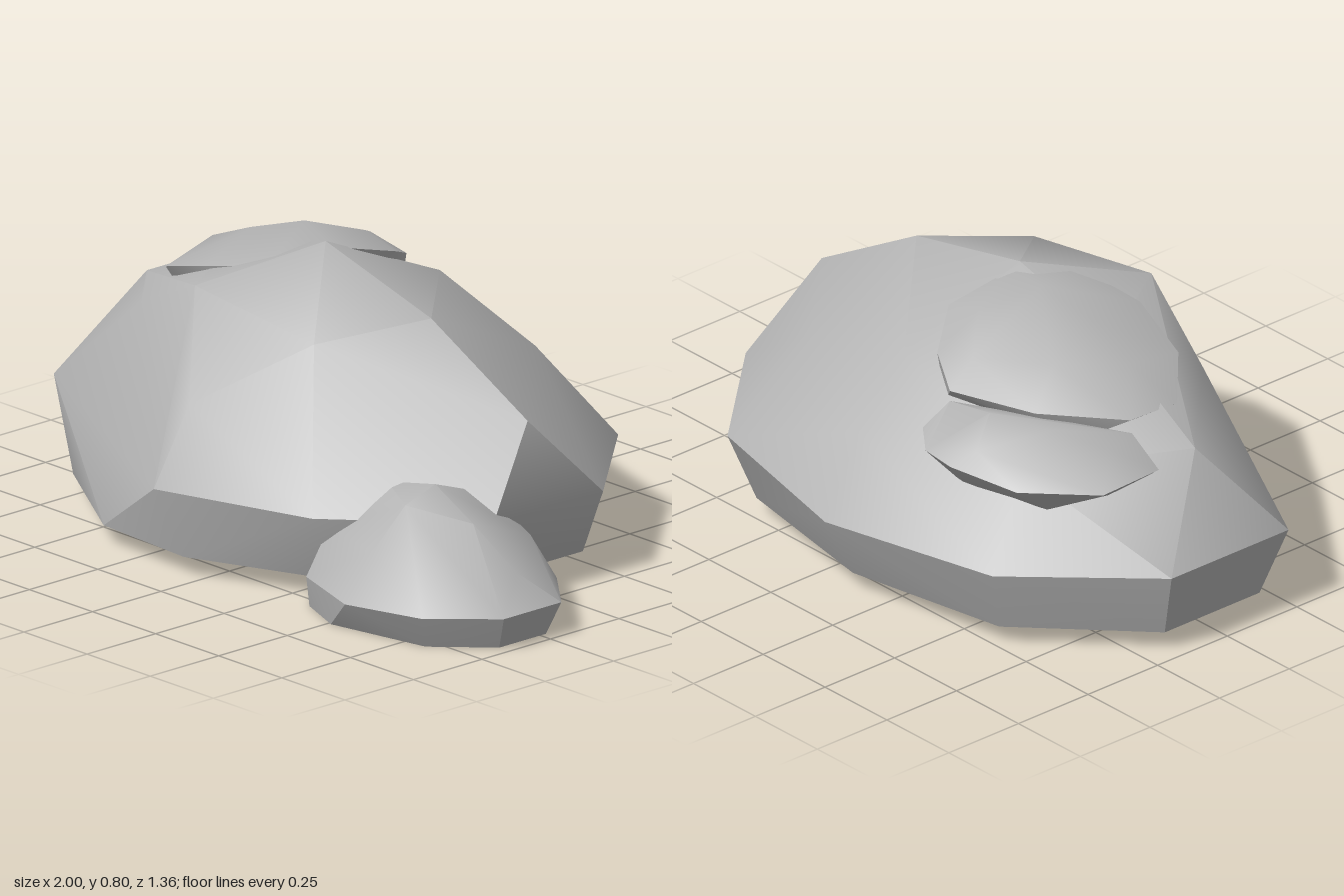
import * as THREE from 'three';
import { ConvexGeometry } from 'three/addons/geometries/ConvexGeometry.js';
import { toCreasedNormals } from 'three/addons/utils/BufferGeometryUtils.js';

// Ring of [x, z] corners at one height
const ring = (y, corners) => corners.map(([x, z]) => [x, y, z]);

// A faceted stone: the convex hull of its corners, softened except at sharp edges
function stone(name, corners, material, crease = 0.65) {
  const hull = new ConvexGeometry(corners.map((c) => new THREE.Vector3(...c)));
  const mesh = new THREE.Mesh(toCreasedNormals(hull, crease), material);
  mesh.name = name;
  return mesh;
}

export function createModel() {
  const group = new THREE.Group();
  group.name = 'rocks';
  const grey = new THREE.MeshStandardMaterial({ color: 0xb4b4b4 });
  grey.name = 'stone grey';

  // Large boulder: undercut base, wide waist, domed top with a ridge to the right
  group.add(stone('boulder', [
    ...ring(0.055, [[0.64, 0.17], [0.32, 0.47], [-0.05, 0.62], [-0.39, 0.6], [-0.76, 0.37], [-0.95, 0.16],
      [-0.95, -0.18], [-0.63, -0.49], [-0.14, -0.58], [0.35, -0.49], [0.64, -0.2]]),
    ...ring(0.245, [[0.72, 0.2], [0.36, 0.53], [-0.11, 0.675], [-1, 0.22],
      [-1, -0.2], [-0.67, -0.55], [-0.14, -0.68], [0.4, -0.55], [0.72, -0.2]]),
    [0.66, 0.48, 0.02], [0.3, 0.685, 0.04], [-0.14, 0.79, 0.02], [-0.5, 0.69, 0.03], [-0.87, 0.52, 0],
    [-0.3, 0.7, 0.35], [0.15, 0.64, 0.33], [-0.1, 0.46, 0.555], [-0.6, 0.56, 0.27],
    [-0.1, 0.63, -0.36], [0.3, 0.52, -0.34], [-0.12, 0.46, -0.54], [-0.6, 0.48, -0.38],
  ], grey));

  // Bulge on the crown
  group.add(stone('crownBulge', [
    ...ring(0.5, [[-0.2, -0.3], [-0.6, -0.2], [-0.6, 0.08], [-0.25, 0.12]]),
    [-0.1, 0.72, -0.2], [-0.2, 0.66, -0.33], [-0.33, 0.62, -0.4], [-0.55, 0.6, -0.29],
    [-0.72, 0.58, -0.1], [-0.73, 0.58, 0.06], [-0.6, 0.64, 0.18], [-0.4, 0.7, 0.22],
    [-0.2, 0.74, 0.18], [-0.13, 0.77, 0],
    [-0.29, 0.797, -0.04], [-0.46, 0.745, 0], [-0.62, 0.68, -0.01],
    [-0.22, 0.75, -0.2], [-0.33, 0.69, -0.32], [-0.5, 0.69, -0.18],
  ], grey, 0.8));

  // Lower bulge at the back right
  group.add(stone('backBulge', [
    ...ring(0.4, [[-0.75, -0.2], [-0.7, -0.38], [-0.45, -0.45], [-0.4, -0.25]]),
    [-0.87, 0.5, -0.13], [-0.88, 0.5, -0.34], [-0.7, 0.49, -0.49], [-0.5, 0.51, -0.55],
    [-0.4, 0.52, -0.55], [-0.31, 0.53, -0.48], [-0.33, 0.59, -0.4], [-0.75, 0.56, -0.12],
    [-0.8, 0.57, -0.24], [-0.65, 0.6, -0.32], [-0.48, 0.61, -0.39], [-0.55, 0.56, -0.5],
  ], grey, 0.8));

  // Small stone leaning against the boulder
  group.add(stone('smallStone', [
    ...ring(0, [[0.96, 0.23], [0.96, 0.4], [0.82, 0.54], [0.51, 0.6], [0.36, 0.54],
      [0.26, 0.42], [0.27, 0.22], [0.46, 0.07], [0.72, 0.04], [0.84, 0.11]]),
    ...ring(0.095, [[1, 0.21], [1, 0.42], [0.85, 0.58], [0.62, 0.65], [0.38, 0.57],
      [0.28, 0.44], [0.27, 0.2], [0.45, 0.04], [0.72, 0.015], [0.84, 0.08]]),
    [0.62, 0.36, 0.32], [0.77, 0.285, 0.32], [0.92, 0.18, 0.3], [0.62, 0.325, 0.43], [0.62, 0.22, 0.55],
    [0.43, 0.32, 0.32], [0.37, 0.26, 0.38], [0.34, 0.2, 0.45], [0.62, 0.31, 0.18], [0.6, 0.215, 0.04],
    [0.36, 0.24, 0.2], [0.78, 0.21, 0.12],
  ], grey));

  return group;
}
